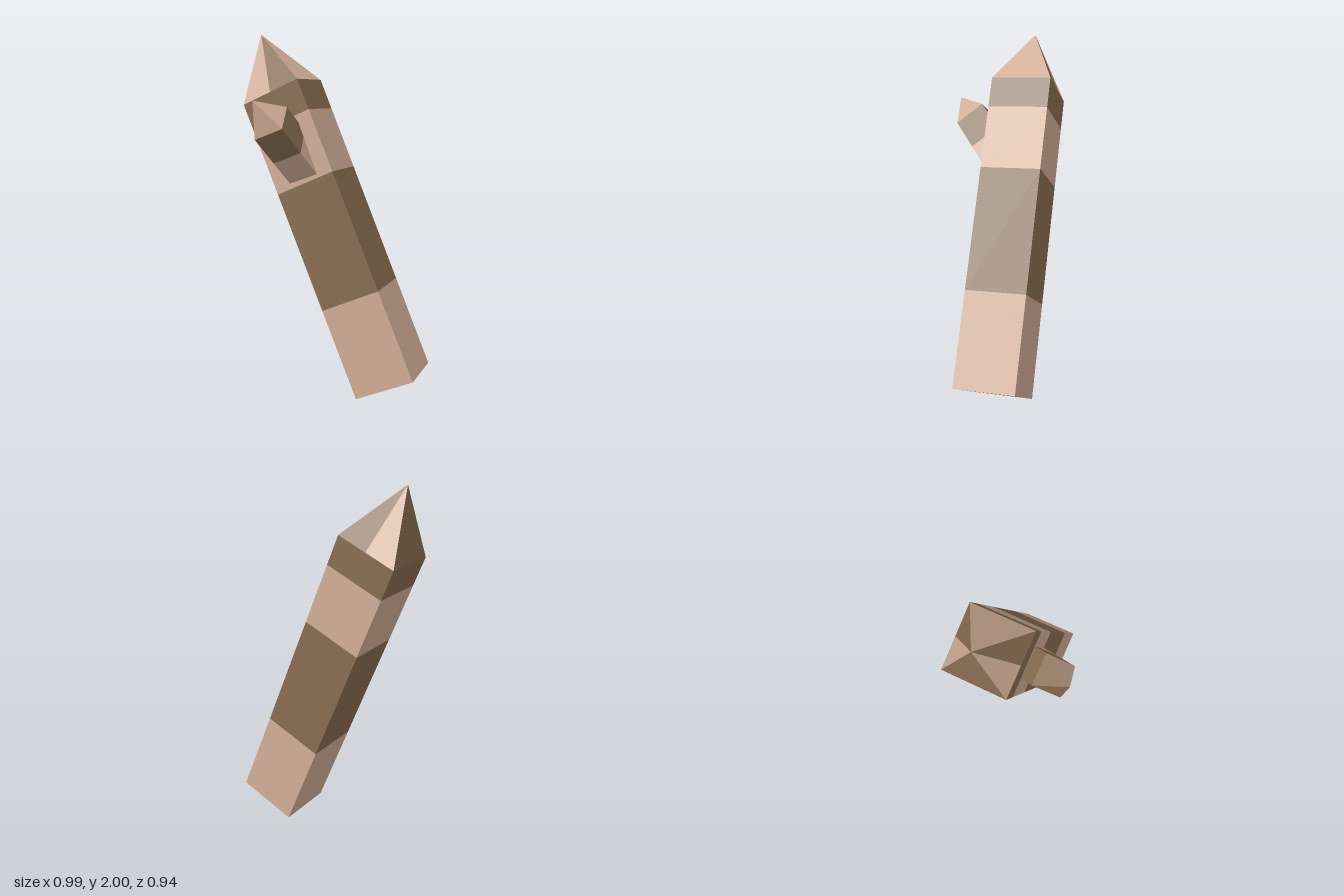
import * as THREE from 'three';

const light = new THREE.MeshStandardMaterial({ color: 0xd0ad96 });
light.name = 'light wood';
const brown = new THREE.MeshStandardMaterial({ color: 0x886d50 });
brown.name = 'brown wood';

const v = (x, y, z) => new THREE.Vector3(x, y, z);
const mid = (a, b) => a.clone().lerp(b, 0.5);

// Flat-faced mesh from polygons (triangles or quads, counter-clockwise)
function facets(name, material, polygons) {
  const points = [];
  for (const p of polygons) {
    for (let i = 1; i < p.length - 1; i++) points.push(p[0], p[i], p[i + 1]);
  }
  const geometry = new THREE.BufferGeometry().setFromPoints(points);
  geometry.computeVertexNormals();
  const mesh = new THREE.Mesh(geometry, material);
  mesh.name = name;
  return mesh;
}

// Four-sided shaft from a ring of corners, cut into colour bands along its axis
function shaft(name, ring, axis, bands) {
  const group = new THREE.Group();
  group.name = name;
  const at = (i, t) => ring[i % 4].clone().addScaledVector(axis, t);
  bands.forEach(([t0, t1, material], n) => {
    const sides = ring.map((_, i) => [at(i, t0), at(i + 1, t0), at(i + 1, t1), at(i, t1)]);
    group.add(facets(`${name}Band${n + 1}`, material, sides));
  });
  return group;
}

// Pyramid point; each side has a colour for its first and second half
function point(name, ring, apex, colours) {
  const group = new THREE.Group();
  group.name = name;
  colours.forEach(([first, second], i) => {
    const a = ring[i], b = ring[(i + 1) % 4], m = mid(a, b);
    group.add(facets(`${name}Side${i + 1}A`, first, [[a, m, apex]]));
    group.add(facets(`${name}Side${i + 1}B`, second, [[m, b, apex]]));
  });
  return group;
}

export function createModel() {
  const model = new THREE.Group();
  model.name = 'woodenStake';

  // Leaning main post
  const base = [v(0.25, 0.14, 0.47), v(0.49, 0.14, 0.226), v(0.265, 0, 0), v(0.022, 0, 0.242)];
  const axis = v(-0.47, 1.61, -0.47);
  model.add(shaft('post', base, axis, [
    [0, 0.3, light], [0.3, 0.695, brown], [0.695, 0.9, light], [0.9, 1, brown],
  ]));

  // Underside, half of each colour
  const [a, b, c, d] = base;
  model.add(facets('undersideBrown', brown, [[a, mid(d, a), mid(b, c), b]]));
  model.add(facets('undersideLight', light, [[mid(d, a), d, c, mid(b, c)]]));

  // Sharpened top
  const shoulder = base.map((p) => p.clone().add(axis));
  model.add(point('postPoint', shoulder, v(-0.307, 2, -0.33), [
    [light, light], [brown, light], [brown, brown], [light, brown],
  ]));

  // Side branch
  const branchTop = [v(-0.365, 1.49, 0.155), v(-0.29, 1.6, 0.03), v(-0.4, 1.54, -0.085), v(-0.475, 1.43, 0.04)];
  const branchAxis = v(-0.225, 0.25, 0.075);
  const branchBase = branchTop.map((p) => p.clone().sub(branchAxis));
  model.add(shaft('branch', branchBase, branchAxis, [[0, 0.48, light], [0.48, 1, brown]]));
  model.add(facets('branchEnd', light, [[...branchBase].reverse()]));
  model.add(point('branchPoint', branchTop, v(-0.495, 1.635, 0.07), [
    [light, light], [brown, brown], [brown, brown], [light, light],
  ]));

  return model;
}
